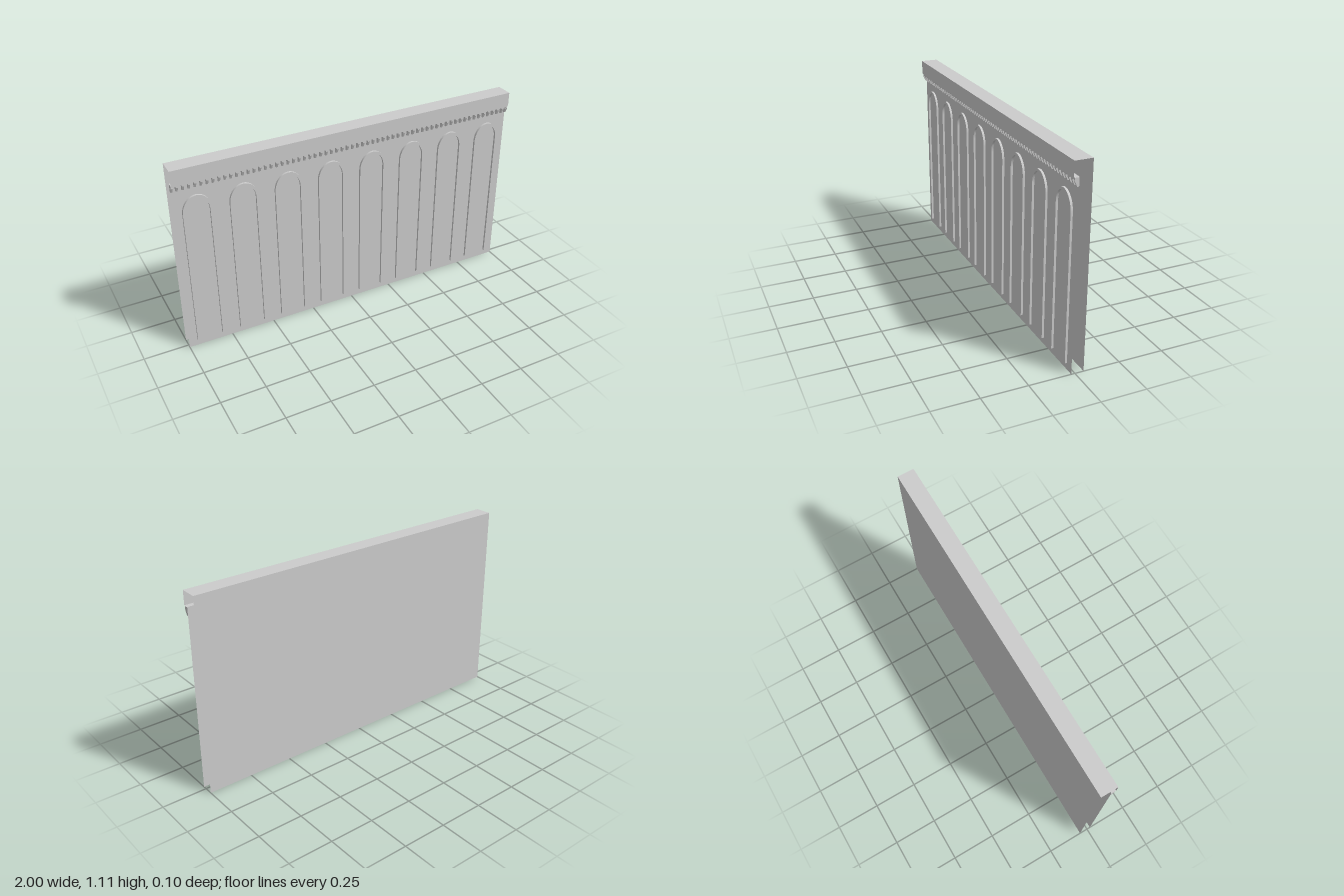
import * as THREE from 'three';

const BAYS = 8, BAY = 0.25, PER_BAY = 8;
const WALL_Z = 0.02, FRONT = 0.048, BACK = -0.048;
const TOP = 1.11, LEDGE = 1.031;

export function createModel() {
  const model = new THREE.Group();
  const mat = new THREE.MeshStandardMaterial({ color: 0xcccccc, side: THREE.DoubleSide });

  const add = (name, geometry, parent = model) => {
    const mesh = new THREE.Mesh(geometry, mat);
    mesh.name = name;
    parent.add(mesh);
    return mesh;
  };

  // Thin full-width sheet between two (z, y) points of the wall's section
  const sheet = (name, [z0, y0], [z1, y1]) => {
    const g = new THREE.PlaneGeometry(2, Math.hypot(z1 - z0, y1 - y0));
    g.rotateX(Math.atan2(z1 - z0, y1 - y0));
    g.translate(0, (y0 + y1) / 2, (z0 + z1) / 2);
    add(name, g);
  };

  // Open-ended wall shell with a projecting parapet
  sheet('frontWall', [WALL_Z, 0], [WALL_Z, LEDGE]);
  sheet('parapetUnderside', [WALL_Z, LEDGE], [FRONT, LEDGE]);
  sheet('parapetFront', [FRONT, LEDGE], [FRONT, TOP]);
  sheet('parapetTop', [BACK, TOP], [FRONT, TOP]);
  sheet('backWall', [BACK, TOP], [BACK, 0]);

  // Blind arch moulding: outer stilted arch, then back along the inner one
  const base = 0.037, spring = 0.84, w = 0.078, rise = 0.098, band = 0.012;
  const arch = new THREE.Shape();
  arch.moveTo(w, base);
  arch.lineTo(w, spring);
  arch.absellipse(0, spring, w, rise, 0, Math.PI, false);
  arch.lineTo(-w, base);
  arch.lineTo(-w + band, base);
  arch.lineTo(-w + band, spring);
  arch.absellipse(0, spring, w - band, rise - band, Math.PI, 0, true);
  arch.lineTo(w - band, base);
  arch.closePath();
  const archGeo = new THREE.ExtrudeGeometry(arch, { depth: 0.019, bevelEnabled: false, curveSegments: 20 });

  const arches = new THREE.Group();
  arches.name = 'blindArches';
  model.add(arches);
  for (let i = 0; i < BAYS; i++) {
    add('archMoulding', archGeo, arches).position.set(-1 + BAY * (i + 0.5), 0, 0.013);
  }

  // Frieze of little arches under the parapet, one strip per bay
  const step = BAY / PER_BAY, r = 0.0105, friezeLow = 1.01;
  const frieze = new THREE.Shape();
  frieze.moveTo(0, LEDGE - 0.002);
  frieze.lineTo(0, friezeLow);
  for (let i = 0; i < PER_BAY; i++) {
    const c = (i + 0.5) * step;
    frieze.lineTo(c - r, friezeLow);
    frieze.absarc(c, friezeLow, r, Math.PI, 0, true);
  }
  frieze.lineTo(BAY, friezeLow);
  frieze.lineTo(BAY, LEDGE - 0.002);
  frieze.closePath();
  const friezeGeo = new THREE.ExtrudeGeometry(frieze, { depth: 0.022, bevelEnabled: false, curveSegments: 6 });

  // Corbel with a sloping face, profile drawn in (z, y)
  const corbel = new THREE.Shape([
    [0.02, 0.984], [0.03, 0.984], [0.042, 1.01], [0.02, 1.01],
  ].map(([z, y]) => new THREE.Vector2(-z, y)));
  const cw = step - 2 * r;
  const corbelGeo = new THREE.ExtrudeGeometry(corbel, { depth: cw, bevelEnabled: false });
  corbelGeo.translate(0, 0, -cw / 2);
  corbelGeo.rotateY(Math.PI / 2);

  const cornice = new THREE.Group();
  cornice.name = 'corbelTable';
  model.add(cornice);
  for (let b = 0; b < BAYS; b++) {
    add('archedFrieze', friezeGeo, cornice).position.set(-1 + b * BAY, 0, WALL_Z);
  }
  for (let i = 0; i <= BAYS * PER_BAY; i++) {
    const x = THREE.MathUtils.clamp(-1 + i * step, -1 + cw / 2, 1 - cw / 2);
    add('corbel', corbelGeo, cornice).position.x = x;
  }

  return model;
}
